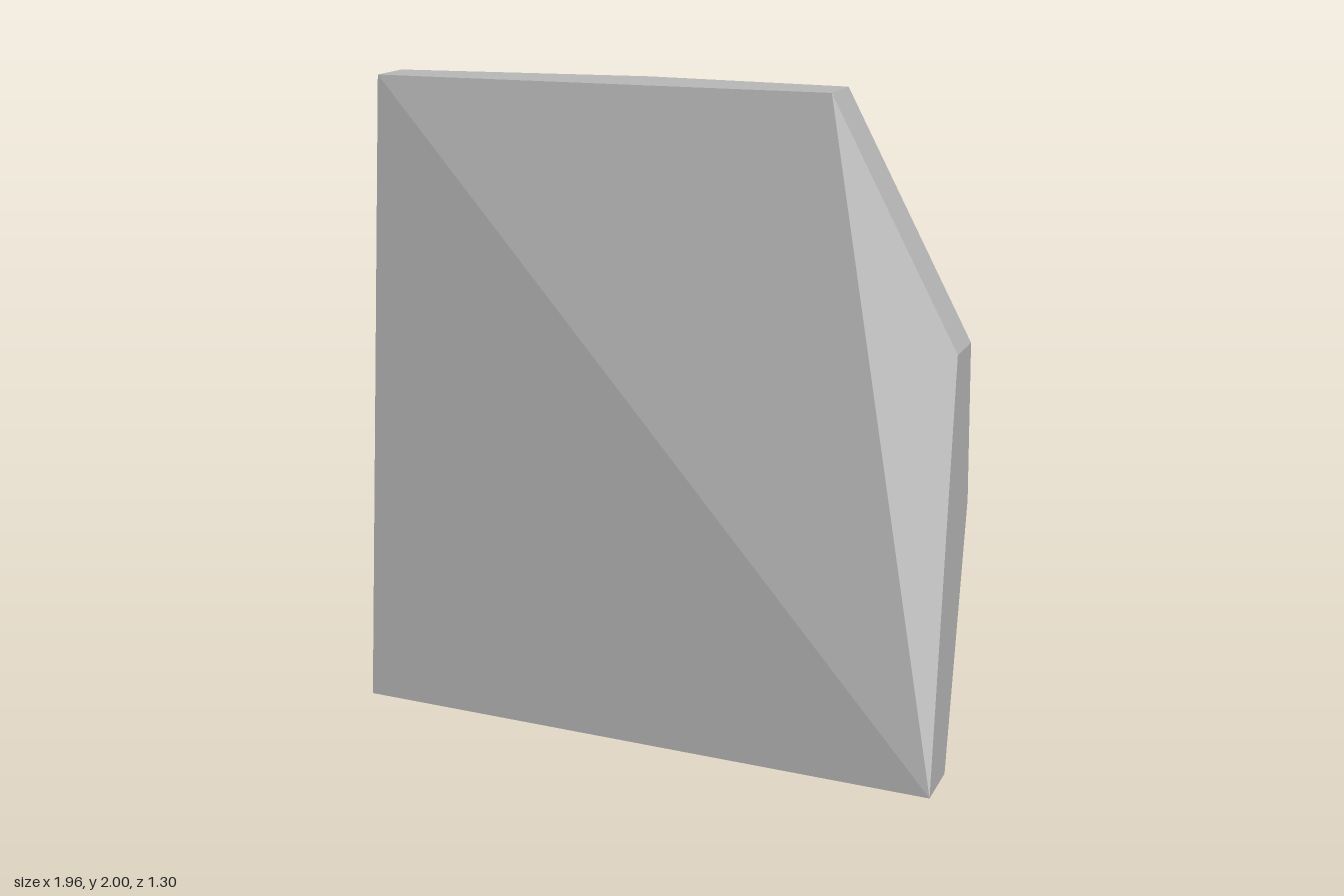
import * as THREE from 'three';
import { ConvexGeometry } from 'three/addons/geometries/ConvexGeometry.js';

export function createModel() {
  const model = new THREE.Group();
  model.name = 'rockSlab';
  const stone = new THREE.MeshStandardMaterial({ color: 0xb8b8b8 });
  stone.name = 'stone grey';

  // Broad front panel with its upper corner cut away
  const front = [
    [-0.98, 0, -0.12], [-0.98, 2, -0.255], [0.58, 2, 0.17],
    [0.98, 1.24, 0.245], [0.98, 0, 0.65],
  ];
  // Bulging back, one column of points at a time
  const leftEdge = [[-0.98, 0, -0.34], [-0.98, 0.76, -0.63], [-0.98, 1.56, -0.65], [-0.98, 2, -0.5]];
  const middle = [
    [-0.16, 0, -0.23], [-0.12, 0.68, -0.485], [-0.09, 0.77, -0.52],
    [-0.09, 1.57, -0.54], [-0.12, 2, -0.385],
  ];
  const shoulder = [
    [0.61, 0, 0.09], [0.76, 0.7, -0.13], [0.72, 0.77, -0.2],
    [0.73, 1.24, -0.2], [0.58, 1.58, -0.26], [0.58, 2, -0.095],
  ];
  const rightEdge = [[0.98, 0, 0.38], [0.98, 0.76, 0.01], [0.98, 1.24, -0.01]];

  // Faceted shell around all the corners
  const corners = [front, leftEdge, middle, shoulder, rightEdge].flat();
  const slab = new THREE.Mesh(new ConvexGeometry(corners.map((p) => new THREE.Vector3(...p))), stone);
  slab.name = 'slab';
  model.add(slab);
  return model;
}
